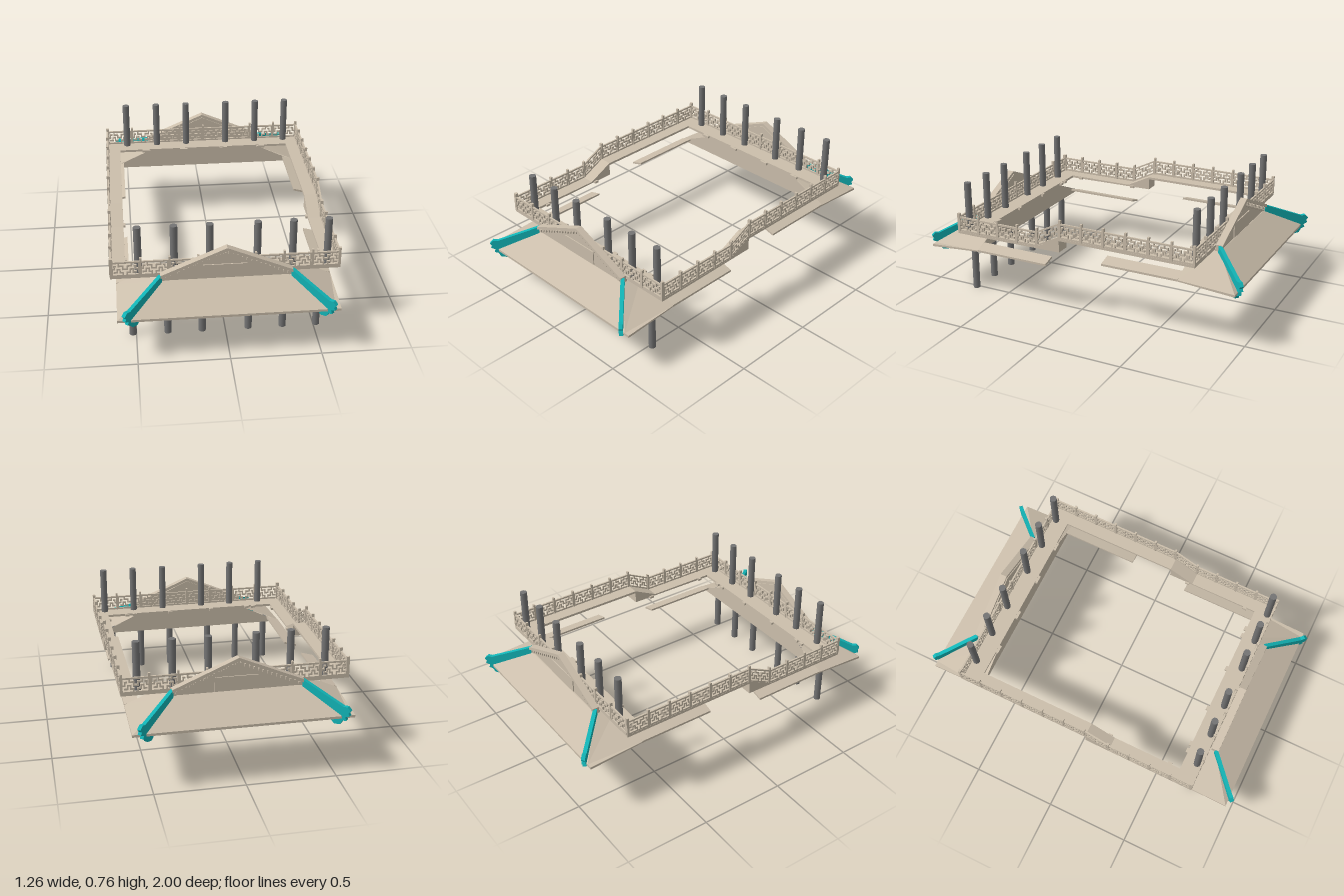
import * as THREE from 'three';
import { mergeGeometries } from 'three/addons/utils/BufferGeometryUtils.js';

const stone = new THREE.MeshStandardMaterial({ color: 0xcbbeab, side: THREE.DoubleSide });
stone.name = 'sandstone';
const teal = new THREE.MeshStandardMaterial({ color: 0x12b4b6 });
teal.name = 'teal glaze';
const grey = new THREE.MeshStandardMaterial({ color: 0x747474 });
grey.name = 'column grey';

const STEP = 0.075; // height of the back half above the front half

function add(parent, name, geo, mat) {
  const m = new THREE.Mesh(geo, mat);
  m.name = name;
  parent.add(m);
  return m;
}
const box = (w, h, d, x, y, z) => new THREE.BoxGeometry(w, h, d).translate(x, y, z);

// Flat faces from lists of corners
function faces(list) {
  const pos = [];
  for (const f of list)
    for (let i = 1; i < f.length - 1; i++) pos.push(...f[0], ...f[i], ...f[i + 1]);
  const g = new THREE.BufferGeometry();
  g.setAttribute('position', new THREE.Float32BufferAttribute(pos, 3));
  g.computeVertexNormals();
  return g;
}
function extrude(points, depth, holes = []) {
  const s = new THREE.Shape(points.map(p => new THREE.Vector2(...p)));
  for (const h of holes) s.holes.push(new THREE.Path(h.map(p => new THREE.Vector2(...p))));
  return new THREE.ExtrudeGeometry(s, { depth, bevelEnabled: false });
}

// Fretwork of one railing panel, # is solid
const FRET = [
  '####################',
  '#....#........#....#',
  '#.##.####..####.##.#',
  '#.#.....#..#.....#.#',
  '###.###.####.###.###',
  '#...#.#......#.#...#',
  '#.###.###..###.###.#',
  '#.......#..#.......#',
  '####################',
];

// Straight run of railing panels from a to b ([x, y, z]); each panel follows the rise
function railing(a, b, panels) {
  const H = 0.09, rows = FRET.length, cols = FRET[0].length;
  const dx = b[0] - a[0], dz = b[2] - a[2], rise = b[1] - a[1];
  const len = Math.hypot(dx, dz), w = len / panels, parts = [];
  for (let p = 0; p < panels; p++) {
    FRET.forEach((row, r) => {
      for (const m of row.matchAll(/#+/g)) {
        const n = m[0].length;
        parts.push(box(n * w / cols, H / rows, 0.01,
          p * w + (m.index + n / 2) * w / cols, H - (r + 0.5) * H / rows, 0));
      }
    });
    parts.push(box(0.012, H + 0.02, 0.016, p * w + 0.006, (H + 0.02) / 2, 0)); // post with knob
  }
  const g = mergeGeometries(parts), pos = g.attributes.position;
  for (let i = 0; i < pos.count; i++) pos.setY(i, pos.getY(i) + rise * pos.getX(i) / len);
  return g.rotateY(-Math.atan2(dz, dx)).translate(...a);
}

// Hipped eave with gable, ridges and side strips, built for the front
function createEnd() {
  const g = new THREE.Group();

  const eave = [], mirror = f => f.map(([x, y, z]) => [-x, y, z]).reverse();
  eave.push([[-0.57, 0.266, 0.967], [0.57, 0.266, 0.967], [0.36, 0.385, 0.785], [-0.36, 0.385, 0.785]]);
  eave.push([[-0.6, 0.252, 0.967], [0.6, 0.252, 0.967], [0.6, 0.266, 0.967], [-0.6, 0.266, 0.967]]);
  eave.push([[0.6, 0.277, 0.64], [-0.6, 0.277, 0.64], [-0.36, 0.39, 0.64], [0.36, 0.39, 0.64]]);
  eave.push([[-0.6, 0.277, 0.64], [0.6, 0.277, 0.64], [0.6, 0.252, 0.967], [-0.6, 0.252, 0.967]]);
  const side = [[0.57, 0.266, 0.967], [0.6, 0.266, 0.967], [0.6, 0.285, 0.64], [0.36, 0.39, 0.64], [0.36, 0.385, 0.785]];
  const edge = [[0.6, 0.252, 0.967], [0.6, 0.277, 0.64], [0.6, 0.285, 0.64], [0.6, 0.266, 0.967]];
  eave.push(side, mirror(side), edge, mirror(edge));
  add(g, 'eaveRoof', faces(eave), stone);

  // Gable wall and its raised centre panel
  add(g, 'gableWall', extrude([[-0.36, 0.375], [0.36, 0.375], [0.36, 0.4], [0, 0.56], [-0.36, 0.4]], 0.018)
    .translate(0, 0, 0.755), stone);
  add(g, 'gablePanel', extrude([[-0.127, 0.38], [0.112, 0.38], [0.112, 0.465], [-0.127, 0.465]], 0.006)
    .translate(0, 0, 0.773), stone);

  // Stepped raking bands with small teeth
  const band = (lo, hi) => [[-0.36, 0.42 + lo], [0, 0.575 + lo], [0.36, 0.42 + lo],
    [0.36, 0.42 + hi], [0, 0.575 + hi], [-0.36, 0.42 + hi]];
  add(g, 'rakingBand', extrude(band(-0.045, 0), 0.025).translate(0, 0, 0.762), stone);
  add(g, 'rakingCap', extrude(band(-0.016, 0.003), 0.04).translate(0, 0, 0.76), stone);
  const teeth = [];
  for (const s of [-1, 1])
    for (let i = 0; i < 14; i++) {
      const x = 0.012 + i * 0.025;
      teeth.push(box(0.013, 0.014, 0.01, s * x, 0.575 - x * 0.43 - 0.027, 0.79));
    }
  add(g, 'gableTeeth', mergeGeometries(teeth), stone);

  // Hip ridges with a scrolled finial, and the strips running along the sides
  const hip = [[0, 0.42], [0, 0.36], [0.1, 0.315], [0.125, 0.265], [0.15, 0.235], [0.18, 0.23], [0.2, 0.21],
    [0.235, 0.215], [0.25, 0.24], [0.272, 0.245], [0.265, 0.265], [0.29, 0.275], [0.282, 0.29],
    [0.294, 0.305], [0.275, 0.325], [0.25, 0.322]];
  for (const s of [-1, 1]) {
    const r = add(g, 'hipRidge', extrude(hip, 0.022).translate(0, 0, -0.011), teal);
    r.position.set(s * 0.36, 0, 0.785);
    r.rotation.y = s > 0 ? -Math.PI / 4 : -3 * Math.PI / 4;

    const strip = new THREE.BoxGeometry(0.075, 0.012, 0.46), p = strip.attributes.position;
    for (let i = 0; i < p.count; i++) p.setY(i, p.getY(i) - s * p.getX(i) * 0.28);
    strip.computeVertexNormals();
    add(g, 'sideEaveStrip', strip.translate(s * 0.5625, 0.293, 0.41), stone);
  }
  return g;
}

export function createModel() {
  const model = new THREE.Group();

  const front = createEnd();
  front.name = 'frontEnd';
  const back = createEnd();
  back.name = 'backEnd';
  back.rotation.y = Math.PI;
  back.position.y = STEP;
  model.add(front, back);

  // Walkway: two end decks and two side decks that ramp up towards the back
  const lo = 0.402, hi = lo + STEP;
  add(model, 'frontDeck', box(1.26, 0.014, 0.11, 0, lo - 0.007, 0.695), stone);
  add(model, 'backDeck', box(1.26, 0.014, 0.11, 0, hi - 0.007, -0.695), stone);
  const deck = [[-0.64, lo - 0.014], [-0.07, lo - 0.008], [-0.07, hi - 0.014], [0.64, hi - 0.014],
    [0.64, hi], [-0.07, hi], [-0.22, lo], [-0.64, lo]];
  for (const s of [-1, 1]) {
    add(model, 'sideDeck', extrude(deck, 0.085).rotateY(Math.PI / 2)
      .translate(s > 0 ? 0.545 : -0.63, 0, 0), stone);

    // Side railing: low run, ramp, high run
    const x = s * 0.624;
    add(model, 'lowSideRailing', railing([x, lo, 0.745], [x, lo, 0.22], 4), stone);
    add(model, 'rampRailing', railing([x, lo, 0.22], [x, hi, 0.07], 1), stone);
    add(model, 'highSideRailing', railing([x, hi, 0.07], [x, hi, -0.745], 6), stone);
    for (const [y, z] of [[lo, 0.745], [hi, -0.745]])
      add(model, 'cornerPost', box(0.013, 0.11, 0.013, x, y + 0.055, z), stone);
    for (const z of [0.19, 0.575])
      add(model, 'sideTab', box(0.012, 0.014, 0.025, s * 0.54, lo - 0.008, z), stone);
  }
  add(model, 'frontRailing', railing([-0.624, lo, 0.745], [0.624, lo, 0.745], 8), stone);
  add(model, 'backRailing', railing([-0.624, hi, -0.745], [0.624, hi, -0.745], 8), stone);

  // Small tabs on the inner deck edges
  for (const x of [-0.375, -0.13, 0.13, 0.375])
    add(model, 'backTab', box(0.05, 0.014, 0.015, x, hi - 0.008, -0.633), stone);
  for (const x of [-0.425, -0.38, -0.14, 0.135, 0.37, 0.42])
    add(model, 'frontTab', box(0.028, 0.014, 0.014, x, lo - 0.008, 0.634), stone);

  // Columns: lower row, upper front row, upper back row
  const columns = (name, x0, z, y0, y1) => {
    for (const dx of [0, 0.195, 0.388, 0.648, 0.842, 1.034])
      add(model, name, new THREE.CylinderGeometry(0.0205, 0.0205, y1 - y0, 12)
        .translate(x0 + dx, (y0 + y1) / 2, z), grey);
  };
  columns('lowerColumn', -0.518, 0.72, 0, 0.29);
  columns('frontColumn', -0.475, 0.717, 0.39, 0.685);
  columns('backColumn', -0.497, -0.717, 0.465, 0.758);

  return model;
}
